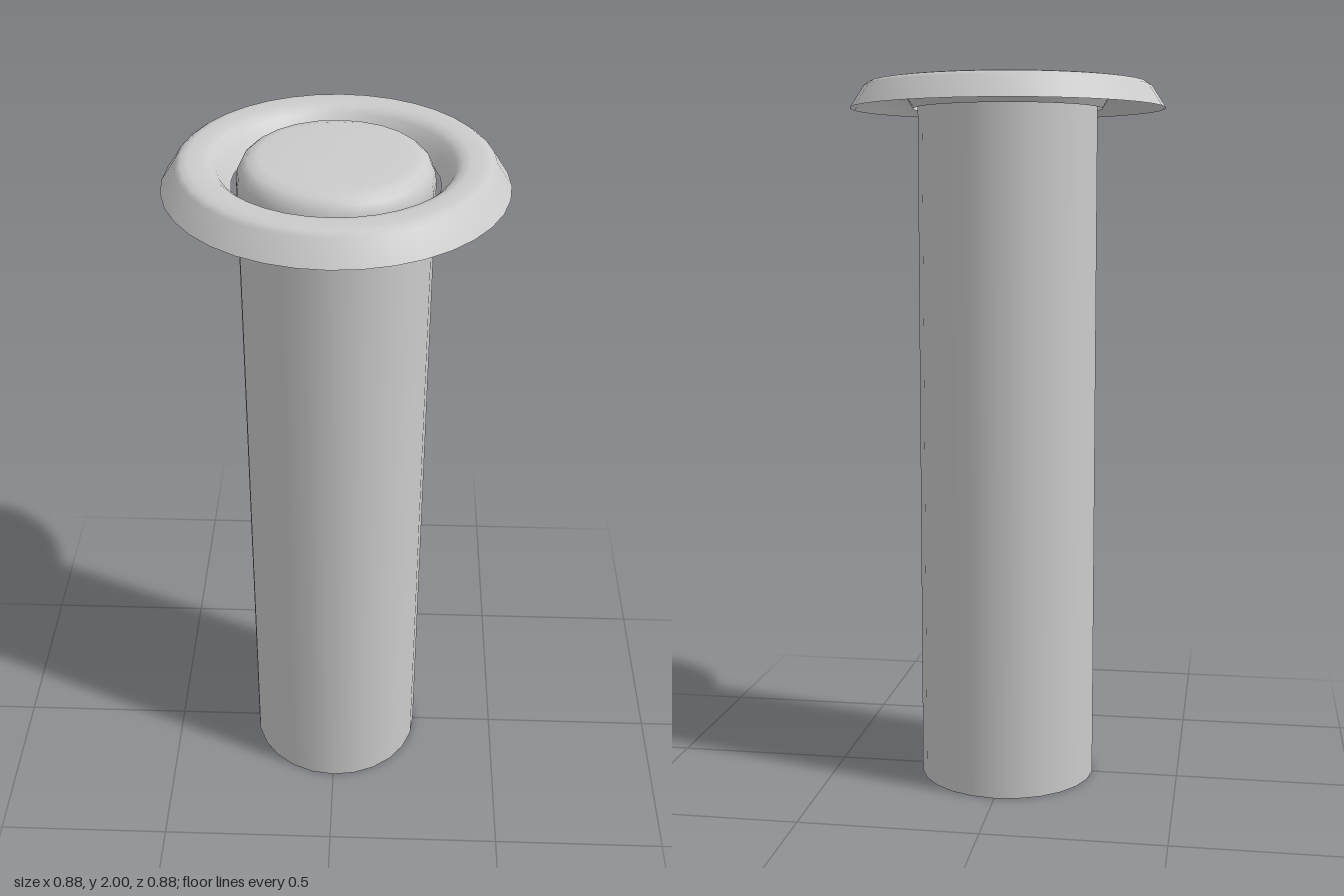
import * as THREE from 'three';

const material = new THREE.MeshStandardMaterial({ color: 0xcccccc, side: THREE.DoubleSide });

// Revolve a list of [radius, height] points around the y axis
function lathe(name, points, segments) {
  const profile = points.map(([r, y]) => new THREE.Vector2(r, y));
  const mesh = new THREE.Mesh(new THREE.LatheGeometry(profile, segments), material);
  mesh.name = name;
  return mesh;
}

export function createModel() {
  const group = new THREE.Group();
  group.name = 'flangedPost';

  // Hollow tube, open at the bottom, closed by a softly domed top
  group.add(lathe('domedTube', [
    [0.252, 0], [0.252, 1.93], [0.248, 1.955], [0.238, 1.976],
    [0.222, 1.99], [0.195, 1.997], [0.1, 1.999], [0, 2],
  ], 24));

  // Thin floating collar: a channel-shaped ring, open underneath
  group.add(lathe('collarRing', [
    [0.265, 1.92], [0.283, 1.95], [0.3, 1.976], [0.315, 1.988], [0.335, 1.993],
    [0.37, 1.993], [0.388, 1.99], [0.402, 1.98], [0.441, 1.92],
  ], 36));

  return group;
}
